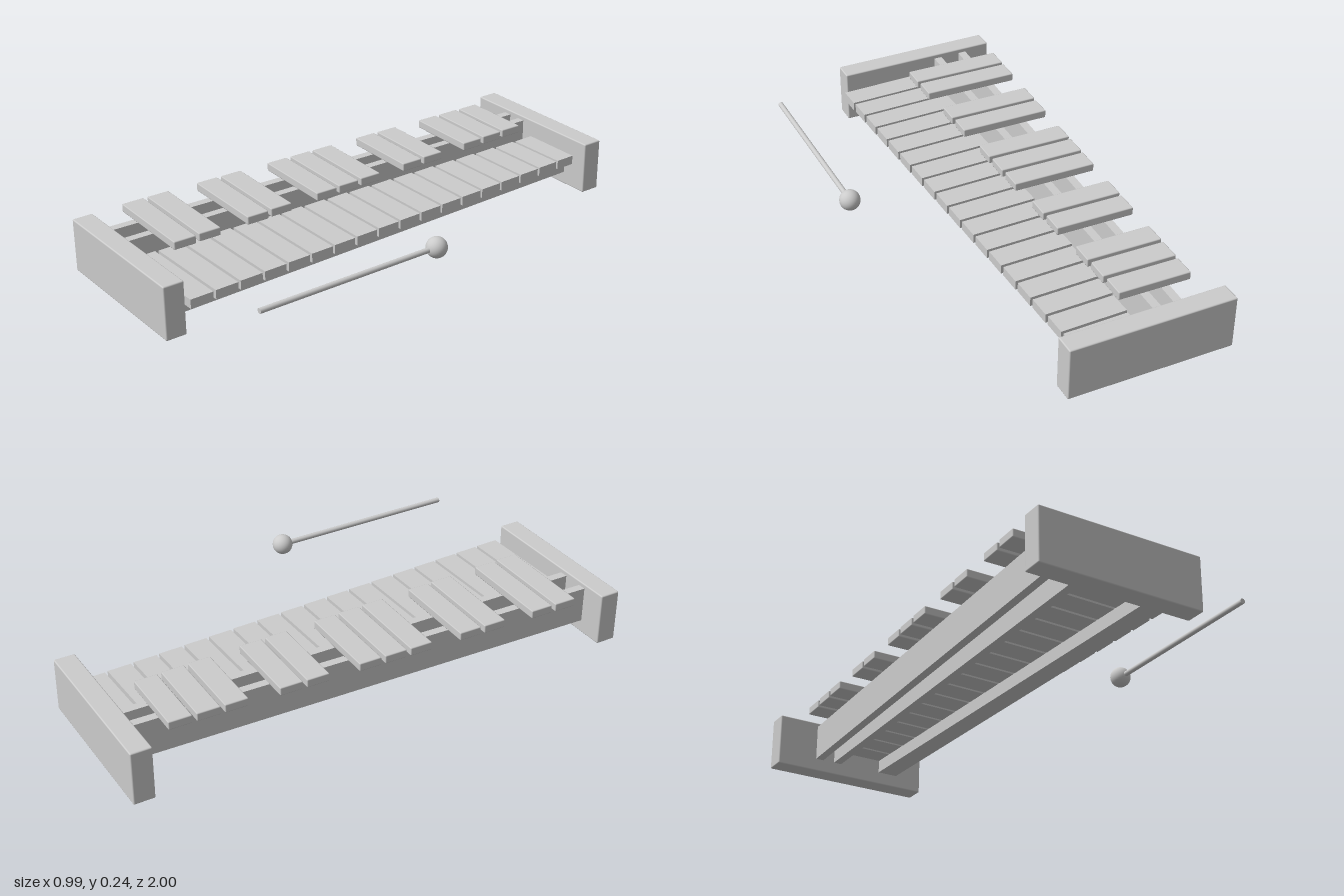
import * as THREE from 'three';
import { RoundedBoxGeometry } from 'three/addons/geometries/RoundedBoxGeometry.js';

const material = new THREE.MeshStandardMaterial({ color: 0xcccccc });
const lerp = THREE.MathUtils.lerp;

function add(parent, name, geometry, x, y, z) {
  const mesh = new THREE.Mesh(geometry, material);
  mesh.name = name;
  mesh.position.set(x, y, z);
  parent.add(mesh);
  return mesh;
}

// Beam running back to front, sheared so its ends stay flush with the end blocks
function rail(parent, name, xBack, xFront, width, y0, y1) {
  const length = 1.85;
  const g = new THREE.BoxGeometry(width, y1 - y0, length);
  const p = g.attributes.position;
  for (let i = 0; i < p.count; i++) {
    p.setX(i, p.getX(i) + lerp(xBack, xFront, p.getZ(i) / length + 0.5));
  }
  g.computeVertexNormals();
  add(parent, name, g, 0, (y0 + y1) / 2, 0);
}

// Sounding bar spanning x0..x1, turned slightly to follow its rail
function bar(parent, name, x0, x1, y0, y1, z, depth, angle, bevel) {
  const g = bevel
    ? new RoundedBoxGeometry(x1 - x0, y1 - y0, depth, 1, bevel)
    : new THREE.BoxGeometry(x1 - x0, y1 - y0, depth);
  add(parent, name, g, (x0 + x1) / 2, (y0 + y1) / 2, z).rotation.y = angle;
}

export function createModel() {
  const model = new THREE.Group();
  model.name = 'glockenspiel';

  // End blocks
  for (const [name, z] of [['frontEndBlock', 0.96], ['backEndBlock', -0.96]]) {
    add(model, name, new RoundedBoxGeometry(0.638, 0.207, 0.08, 2, 0.005), -0.179, 0.1035, z);
  }

  // Two tall rails for the upper row, one low wide rail for the lower row
  rail(model, 'outerUpperRail', -0.32, -0.38, 0.032, 0.05, 0.19);
  rail(model, 'innerUpperRail', -0.24, -0.27, 0.032, 0.05, 0.19);
  rail(model, 'lowerRail', -0.012, 0.04, 0.08, 0.05, 0.102);

  // Lower row: eighteen bars that lengthen towards the front
  const lowerRow = new THREE.Group();
  lowerRow.name = 'lowerBars';
  for (let i = 0; i < 18; i++) {
    const t = i / 17;
    bar(lowerRow, 'lowerBar', lerp(-0.174, -0.222, t), lerp(0.073, 0.154, t),
      0.101, 0.137, lerp(-0.882, 0.866, t), 0.091, 0.02, 0);
  }
  model.add(lowerRow);

  // Upper row: groups of three and two bars, with gaps between the groups
  const upperRow = new THREE.Group();
  upperRow.name = 'upperBars';
  for (const slot of [0, 1, 2, 4, 5, 7, 8, 9, 11, 12, 14, 15]) {
    const t = slot / 15;
    bar(upperRow, 'upperBar', lerp(-0.422, -0.473, t), lerp(-0.143, -0.094, t),
      0.19, 0.222, lerp(-0.78, 0.77, t), 0.088, -0.015, 0.004);
  }
  model.add(upperRow);

  // Mallet lying beside the instrument
  const mallet = new THREE.Group();
  mallet.name = 'mallet';
  const stick = new THREE.CylinderGeometry(0.01, 0.01, 0.735, 20).rotateX(Math.PI / 2);
  add(mallet, 'malletStick', stick, 0, 0, 0.3675);
  add(mallet, 'malletHead', new THREE.SphereGeometry(0.039, 32, 20), 0, 0, 0);
  mallet.position.set(0.457, 0.204, 0.095);
  model.add(mallet);

  return model;
}
